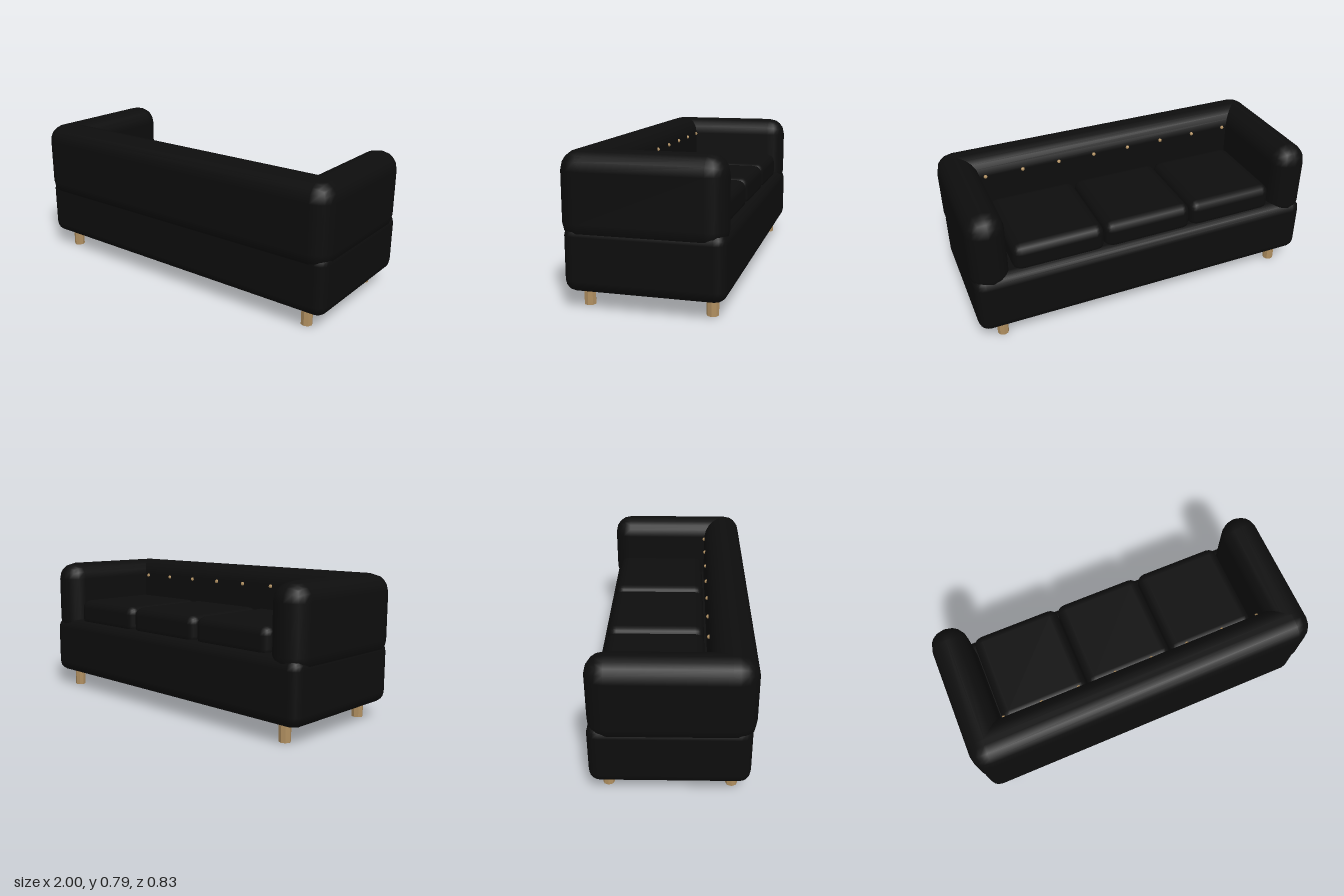
import * as THREE from 'three';
import { RoundedBoxGeometry } from 'three/addons/geometries/RoundedBoxGeometry.js';

export function createModel() {
  const sofa = new THREE.Group();
  sofa.name = 'sofa';

  const leather = new THREE.MeshStandardMaterial({ color: 0x0d0d0d });
  leather.name = 'black leather';
  const wood = new THREE.MeshStandardMaterial({ color: 0xb08f60, flatShading: true });
  wood.name = 'light wood';

  function add(name, geometry, material, x, y, z) {
    const mesh = new THREE.Mesh(geometry, material);
    mesh.name = name;
    mesh.position.set(x, y, z);
    sofa.add(mesh);
    return mesh;
  }

  // Upholstered block given by its limits on each axis
  function pad(name, [x0, x1], [y0, y1], [z0, z1], radius) {
    const geometry = new RoundedBoxGeometry(x1 - x0, y1 - y0, z1 - z0, 2, radius);
    add(name, geometry, leather, (x0 + x1) / 2, (y0 + y1) / 2, (z0 + z1) / 2);
  }

  // Base, and backrest along the +z side
  pad('base', [-0.993, 0.993], [0.092, 0.435], [-0.417, 0.397], 0.06);
  pad('backrest', [-1, 1], [0.335, 0.792], [0.185, 0.417], 0.1);

  // Armrests
  for (const [name, side] of [['leftArm', 1], ['rightArm', -1]]) {
    const x = side > 0 ? [0.79, 1] : [-1, -0.79];
    pad(name, x, [0.335, 0.792], [-0.415, 0.417], 0.1);
  }

  // Three seat cushions
  for (let i = 0; i < 3; i++) {
    const x = (i - 1) * 0.518 - 0.005;
    pad('seatCushion', [x - 0.257, x + 0.257], [0.4, 0.565], [-0.375, 0.168], 0.05);
  }

  // Row of tufting buttons on the inside of the backrest
  const button = new THREE.SphereGeometry(0.011, 8, 6);
  for (let i = 0; i < 8; i++) {
    add('button', button, wood, -0.762 + i * 0.217, 0.69, 0.184);
  }

  // Eight-sided legs
  const leg = new THREE.CylinderGeometry(0.031, 0.031, 0.11, 8);
  for (const x of [-0.86, 0.86]) {
    for (const z of [-0.328, 0.307]) add('leg', leg, wood, x, 0.055, z);
  }

  return sofa;
}
